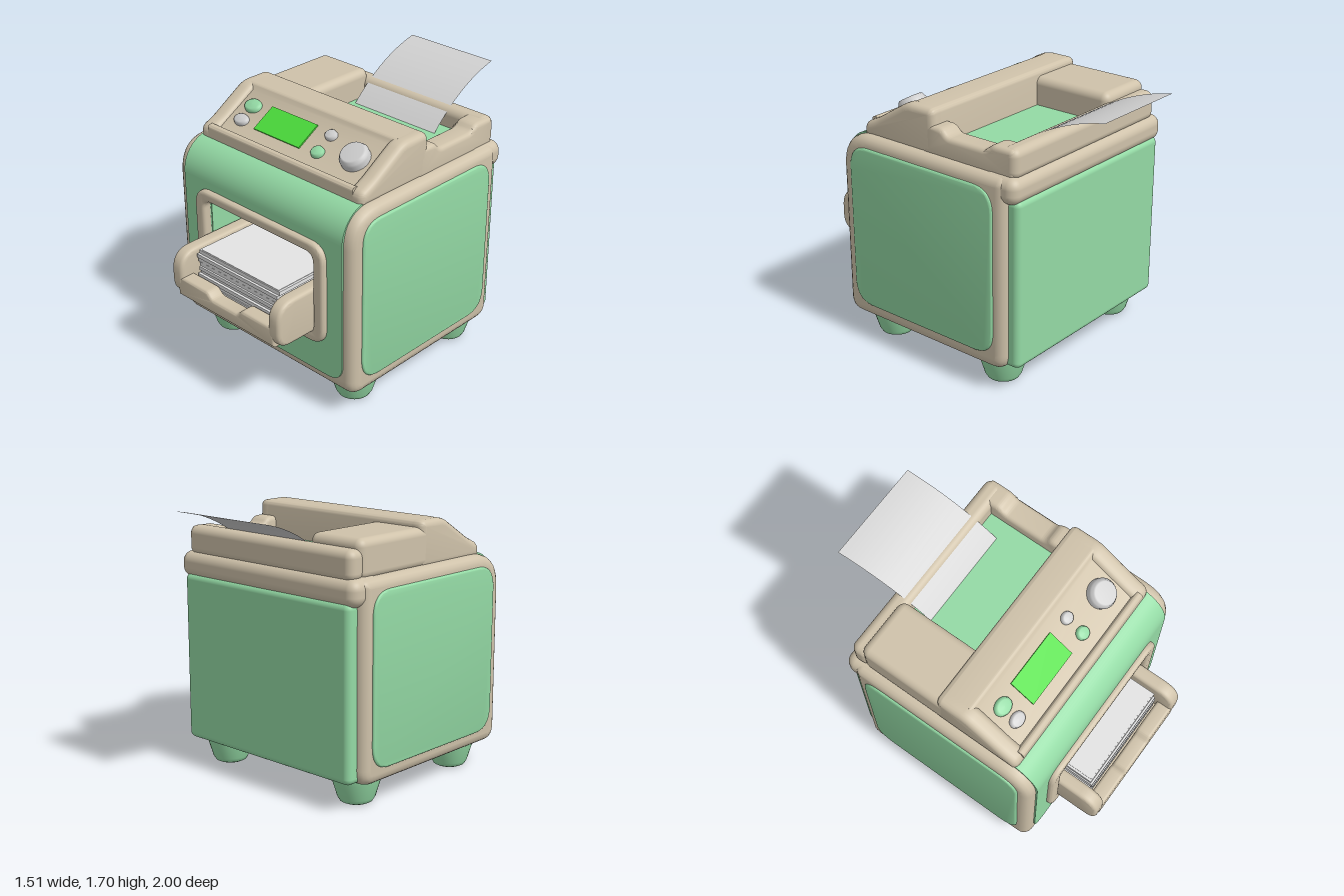
import * as THREE from 'three';
import { toCreasedNormals } from 'three/addons/utils/BufferGeometryUtils.js';
import { RoundedBoxGeometry } from 'three/addons/geometries/RoundedBoxGeometry.js';

const mat = (name, color, side = THREE.FrontSide) => {
  const m = new THREE.MeshStandardMaterial({ color, side });
  m.name = name;
  return m;
};

// Closed shape from [x, y, cornerRadius] points
function roundShape(pts) {
  const s = new THREE.Shape();
  const n = pts.length;
  pts.forEach(([x, y, r = 0], i) => {
    const toward = ([px, py]) => {
      const d = Math.hypot(px - x, py - y);
      return [x + ((px - x) / d) * r, y + ((py - y) / d) * r];
    };
    const a = toward(pts[(i + n - 1) % n]);
    const b = toward(pts[(i + 1) % n]);
    if (i === 0) s.moveTo(...a); else s.lineTo(...a);
    if (r > 0) s.quadraticCurveTo(x, y, ...b);
  });
  s.closePath();
  return s;
}
const rect = (x0, y0, x1, y1, r) => roundShape([[x0, y0, r], [x1, y0, r], [x1, y1, r], [x0, y1, r]]);

// Extrusion between two depths; the bevel stays inside the outline
function extrude(shape, from, to, bevel = 0) {
  const g = new THREE.ExtrudeGeometry(shape, {
    depth: to - from - 2 * bevel, curveSegments: 10, bevelEnabled: bevel > 0,
    bevelThickness: bevel, bevelSize: bevel, bevelOffset: -bevel, bevelSegments: 4,
  });
  g.translate(0, 0, from + bevel);
  return toCreasedNormals(g, 0.7);
}
// Side profile given in (z, y), extruded along x
const extrudeX = (shape, x0, x1, bevel) => extrude(shape, -x1, -x0, bevel).rotateY(-Math.PI / 2);

function box(x0, x1, y0, y1, z0, z1, r = 0) {
  const size = [x1 - x0, y1 - y0, z1 - z0];
  const g = r ? new RoundedBoxGeometry(...size, 4, r) : new THREE.BoxGeometry(...size);
  return g.translate((x0 + x1) / 2, (y0 + y1) / 2, (z0 + z1) / 2);
}

export function createModel() {
  const model = new THREE.Group();
  model.name = 'desktopPrinter';
  const cream = mat('cream', 0xcfc2aa);
  const green = mat('mint green', 0x94daa5);
  const dark = mat('dark interior', 0x4c5755);
  const glow = mat('screen green', 0x4bdc3c);
  const grey = mat('button grey', 0xcfcfcf);
  const white = mat('paper white', 0xe4e4e4);
  const sheetMat = mat('sheet grey', 0xd2d2d2, THREE.DoubleSide);
  const add = (name, geometry, material, parent = model) => {
    const m = new THREE.Mesh(geometry, material);
    m.name = name;
    parent.add(m);
    return m;
  };

  // Body: rounded side frames around a core with a front cavity
  const W = 0.47;
  const profile = roundShape([[-0.6, 0.16, 0.1], [0.68, 0.16, 0.1], [0.68, 1.38, 0.23], [-0.6, 1.38, 0.06]]);
  const notched = roundShape([[-0.6, 0.16, 0.1], [0.68, 0.16, 0.1], [0.68, 0.5], [0.1, 0.5], [0.1, 1.07],
    [0.68, 1.07], [0.68, 1.38, 0.23], [-0.6, 1.38, 0.06]]);
  add('bodyCore', extrudeX(notched, -W, W), cream);
  for (const [side, s] of [['left', 1], ['right', -1]]) {
    const span = (a, b) => (s > 0 ? [a, b] : [-b, -a]);
    add(side + 'BodyFill', extrudeX(profile, ...span(W, 0.64)), cream);
    add(side + 'SideFrame', extrudeX(profile, ...span(0.54, 0.742), 0.06), cream);
    add(side + 'SidePanel', extrudeX(rect(-0.525, 0.25, 0.6, 1.31, 0.15), ...span(0.7, 0.755), 0.015), green);
    add(side + 'CavityWall', box(...span(W - 0.006, W + 0.002), 0.5, 1.07, 0.1, 0.66), green);
  }
  add('cavityBack', box(-W, W, 0.5, 1.07, 0.098, 0.106), dark);
  add('cavityFloor', box(-W, W, 0.498, 0.506, 0.1, 0.66), green);

  // Back panel and the rim above it
  add('backPanel', box(-0.69, 0.69, 0.18, 1.25, -0.67, -0.5, 0.04), green);
  add('backRim', box(-0.73, 0.73, 1.22, 1.385, -0.67, -0.4, 0.065), cream);

  // Front panel with opening, and its curved shoulder
  const front = roundShape([[-0.67, 0.25, 0.12], [0.67, 0.25, 0.12], [0.67, 1.18], [-0.67, 1.18]]);
  front.holes.push(rect(-W, 0.5, W, 1.07, 0.05));
  add('frontPanel', extrude(front, 0.65, 0.69), green);
  const shoulder = new THREE.Shape();
  shoulder.absarc(0.48, 1.18, 0.21, 0, Math.PI / 2, false);
  shoulder.absarc(0.48, 1.18, 0.15, Math.PI / 2, 0, true);
  add('frontShoulder', extrudeX(shoulder, -0.67, 0.67), green);
  const ring = rect(-0.55, 0.46, 0.55, 1.13, 0.12);
  ring.holes.push(rect(-W + 0.005, 0.53, W - 0.005, 1.06, 0.06));
  add('openingFrame', extrude(ring, 0.66, 0.725, 0.022), cream);

  // Output tray with notched front lip
  const tray = new THREE.Group();
  tray.name = 'outputTray';
  model.add(tray);
  const arm = roundShape([[0.2, 0.53], [1.0, 0.535, 0.1], [1.0, 0.83, 0.14], [0.2, 0.83]]);
  add('trayRightArm', extrudeX(arm, -0.468, -0.375, 0.025), cream, tray);
  add('trayLeftArm', extrudeX(arm, 0.375, 0.468, 0.025), cream, tray);
  add('trayFloor', box(-0.4, 0.4, 0.535, 0.59, 0.15, 0.95), cream, tray);
  const lip = roundShape([[-0.42, 0.535], [0.42, 0.535], [0.42, 0.665], [0.15, 0.665, 0.02], [0.11, 0.625, 0.02],
    [-0.11, 0.625, 0.02], [-0.15, 0.665, 0.02], [-0.42, 0.665]]);
  add('trayLip', extrude(lip, 0.895, 0.998, 0.02), cream, tray);

  // Paper stack, each bundle slightly out of line
  for (let i = 0; i < 9; i++) {
    const dx = 0.008 * Math.sin(i * 5.1), dz = 0.008 * Math.sin(i * 3.7);
    const y = 0.585 + i * 0.027;
    add('paperBundle', box(-0.35 + dx, 0.35 + dx, y, y + 0.025, 0.2, 0.88 + dz), white);
    add('paperGap', box(-0.335, 0.335, y + 0.02, y + 0.028, 0.22, 0.865), white);
  }

  // Console: cheeks on both ends of a recessed sloping face
  const cheek = roundShape([[-0.03, 1.36], [0.54, 1.36], [0.54, 1.44, 0.04], [0.44, 1.485, 0.03],
    [0.19, 1.64, 0.05], [-0.02, 1.64, 0.04]]);
  add('rightCheek', extrudeX(cheek, -0.68, -0.56, 0.04), cream);
  add('leftCheek', extrudeX(cheek, 0.56, 0.68, 0.04), cream);
  const slope = roundShape([[-0.03, 1.36], [0.54, 1.36], [0.54, 1.46, 0.02], [0.5, 1.465, 0.015], [0.485, 1.433],
    [0.2, 1.6], [0.18, 1.64, 0.02], [-0.02, 1.64, 0.04]]);
  add('console', extrudeX(slope, -0.605, 0.605), cream);

  // Feed bay behind the console
  add('feedBlock', box(-0.68, -0.28, 1.36, 1.6, -0.56, 0.06, 0.05), cream);
  const rim = roundShape([[-0.62, 1.36], [0.06, 1.36], [0.06, 1.545], [-0.09, 1.545, 0.03], [-0.13, 1.5, 0.03],
    [-0.42, 1.5, 0.03], [-0.46, 1.54, 0.03], [-0.62, 1.54, 0.03]]);
  add('leftRim', extrudeX(rim, 0.53, 0.68, 0.03), cream);
  add('rearRim', box(-0.68, 0.68, 1.36, 1.545, -0.64, -0.515, 0.05), cream);
  add('feedFloor', box(-0.3, 0.55, 1.37, 1.42, -0.55, 0), green);

  // Controls sit on the slope: local y points out of it, local z runs down it
  const tilt = 0.53;
  const controls = new THREE.Group();
  controls.name = 'controls';
  controls.position.set(0, 1.515, 0.345);
  controls.rotation.x = tilt;
  model.add(controls);
  const down = (z) => (z - 0.345) / Math.cos(tilt);
  add('screen', box(-0.33, 0.055, -0.01, 0.009, down(0.25), down(0.41)), glow, controls);
  const cap = new THREE.LatheGeometry([[0, 0.03], [0.7, 0.028], [0.92, 0.02], [1, 0.004], [1, -0.02]]
    .reverse().map(([r, y]) => new THREE.Vector2(r, y)), 32);
  const buttons = [[-0.46, 0.29, 0.063, 0.05, green], [-0.46, 0.39, 0.056, 0.042, grey],
    [0.19, 0.275, 0.042, 0.038, grey], [0.19, 0.39, 0.045, 0.042, green]];
  for (const [x, z, rx, rz, m] of buttons) {
    const b = add('button', cap, m, controls);
    b.position.set(x, 0, down(z));
    b.scale.set(rx, 1, rz);
  }
  const knobProfile = [[0.092, -0.02], [0.092, 0.035], [0.084, 0.045], [0.078, 0.06], [0.068, 0.066], [0, 0.066]];
  add('knob', new THREE.LatheGeometry(knobProfile.map(([r, y]) => new THREE.Vector2(r, y)), 36), grey, controls)
    .position.set(0.445, 0, down(0.34));

  // Curled sheet in the feed
  const sheet = new THREE.PlaneGeometry(0.66, 1, 1, 16);
  const curl = new THREE.QuadraticBezierCurve(new THREE.Vector2(-0.39, 1.42),
    new THREE.Vector2(-0.66, 1.65), new THREE.Vector2(-1, 1.7));
  const p = sheet.attributes.position;
  for (let i = 0; i < p.count; i++) {
    const t = p.getY(i) + 0.5;
    const c = curl.getPoint(t);
    p.setXYZ(i, p.getX(i) + 0.085 - 0.055 * t, c.y, c.x);
  }
  sheet.computeVertexNormals();
  add('feedSheet', sheet, sheetMat);

  // Tapered feet
  const footProfile = [[0, 0.005], [0.08, 0.005], [0.1, 0.015], [0.115, 0.04], [0.145, 0.14], [0.15, 0.18]];
  const foot = new THREE.LatheGeometry(footProfile.map(([r, y]) => new THREE.Vector2(r, y)), 32);
  for (const x of [-0.545, 0.545]) {
    for (const z of [-0.44, 0.45]) add('foot', foot, green).position.set(x, 0, z);
  }
  return model;
}
